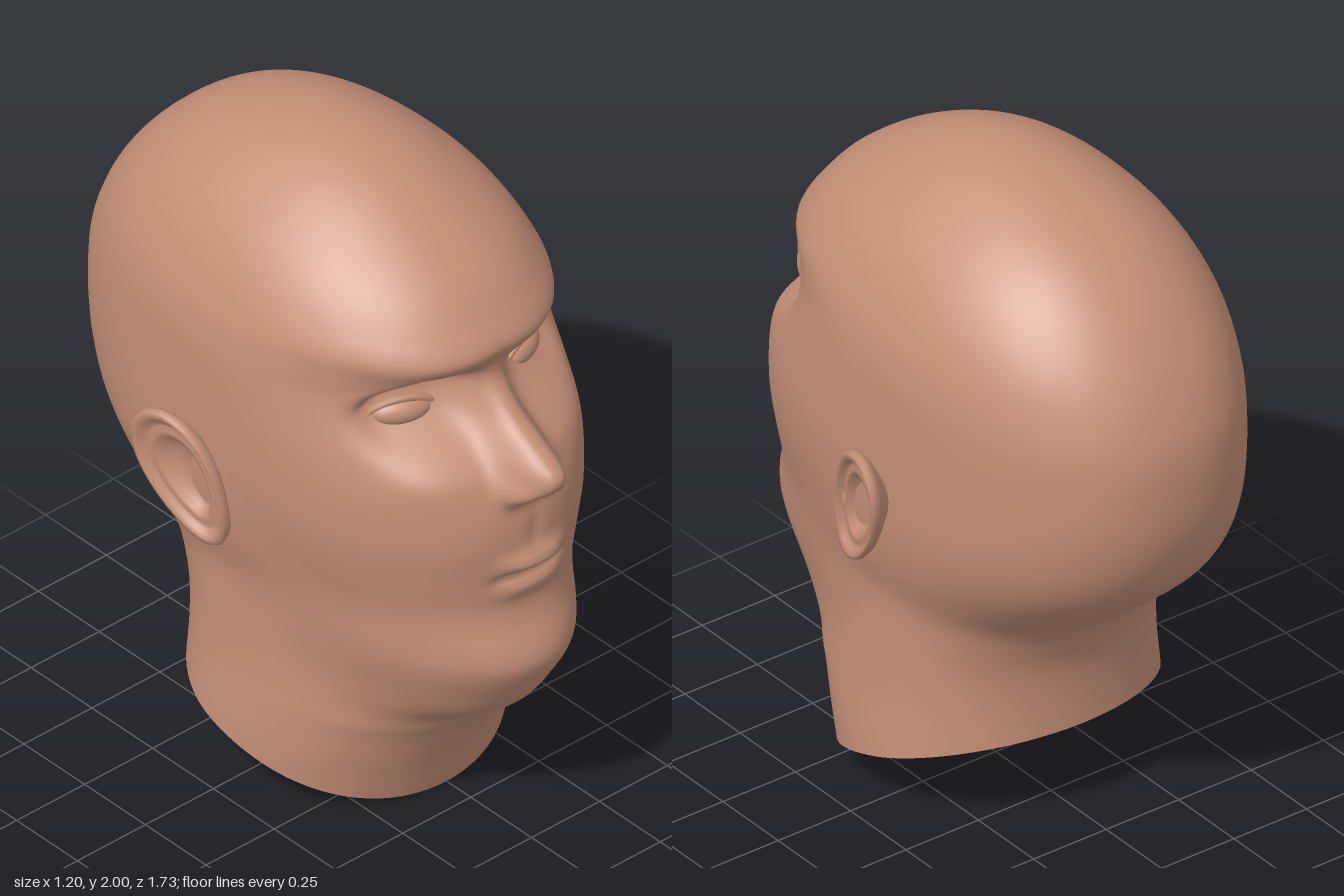
import * as THREE from 'three';

const skin = new THREE.MeshStandardMaterial({ color: 0xc48f76, side: THREE.DoubleSide });
skin.name = 'skin';

const Z0 = -0.05; // axis through the crown

// Profiles over height: [y, value]
const WIDTH = [[0, .46], [.2, .46], [.4, .44], [.6, .434], [.72, .44], [.85, .475], [1, .498], [1.2, .505],
  [1.4, .502], [1.5, .495], [1.6, .475], [1.7, .435], [1.8, .37], [1.9, .265], [1.96, .17], [2, 0]];
const BACK = [[0, -.42], [.3, -.405], [.47, -.41], [.57, -.435], [.68, -.5], [.785, -.63], [.92, -.765],
  [1.1, -.845], [1.29, -.865], [1.45, -.845], [1.66, -.74], [1.85, -.55], [1.96, -.31], [2, Z0]];
const FRONT = [[0, .4], [.15, .456], [.33, .55], [.42, .68], [.52, .755], [.62, .81], [.68, .805], [.76, .77],
  [.83, .755], [.93, .76], [1.05, .77], [1.17, .75], [1.3, .69], [1.4, .62], [1.48, .58], [1.55, .6],
  [1.61, .632], [1.68, .59], [1.77, .51], [1.88, .35], [1.96, .18], [2, Z0]];
const NECK_FRONT = [[0, .4], [.15, .456], [.33, .545], [.5, .55], [2, .55]];
const JAW_WIDTH = [[0, .3], [.3, .35], [.45, .385], [.6, .415], [.8, .445], [1, .488], [1.2, .505], [2, .505]];
const NOSE = [[0, 0], [1.1, 0], [1.165, .012], [1.215, .1], [1.25, .148], [1.29, .168], [1.34, .13],
  [1.4, .075], [1.47, .045], [1.55, .012], [1.62, 0], [2, 0]];

// Smooth interpolation, spaced so that the crown closes round
const toU = (y) => Math.asin(Math.min(1, Math.max(0, y / 2)));
function sample(table, y) {
  const u = toU(y), n = table.length;
  let i = 0;
  while (i < n - 2 && y > table[i + 1][0]) i++;
  const U = (k) => toU(table[k][0]);
  const slope = (k) => {
    const a = Math.max(0, k - 1), b = Math.min(n - 1, k + 1);
    return (table[b][1] - table[a][1]) / (U(b) - U(a));
  };
  const h = U(i + 1) - U(i), t = (u - U(i)) / h, s = t * t * (3 - 2 * t);
  return table[i][1] * (1 - s) + table[i + 1][1] * s
    + h * (slope(i) * t * (1 - t) * (1 - t) - slope(i + 1) * t * t * (1 - t));
}

const bell = (v, centre, size, power = 2) => Math.exp(-Math.pow(Math.abs((v - centre) / size), power));
// Smooth step from 0 at a to 1 at b, in either direction
const step = (a, b, v) => THREE.MathUtils.smoothstep((v - a) / (b - a), 0, 1);

function oval(s, c, w, d, p) {
  const q = (v, r) => Math.pow(Math.abs(v) / Math.max(r, 1e-4), p);
  return Math.pow(q(s, w) + q(c, d), -1 / p);
}

// Radius of the head: skull and neck blended with the forward mass of face and jaw
function radius(angle, y) {
  const s = Math.sin(angle), c = Math.cos(angle), w = sample(WIDTH, y);
  if (c < 0) return oval(s, c, w, Z0 - sample(BACK, y), 2 + 0.24 * step(0.65, 1.05, y));
  const front = sample(FRONT, y);
  const a = oval(s, c, w, Math.min(front, sample(NECK_FRONT, y)) - Z0, 2);
  const power = 2 + 0.18 * step(0.6, 0.9, y) * step(2, 1.6, y);
  const b = oval(s, c, Math.min(w, sample(JAW_WIDTH, y)), front - Z0, power);
  const k = c * (0.02 + 0.06 * step(1.1, 0.7, y)) * step(1.7, 1.3, y) * step(0.05, 0.35, y) + 1e-5;
  const h = Math.max(k - Math.abs(a - b), 0) / k;
  return Math.max(a, b) + h * h * k / 4;
}

// Relief of the facial features, pushed along z
function relief(x, y) {
  const ax = Math.abs(x);
  const nose = sample(NOSE, y) * bell(x, 0, 0.056 + 0.022 * step(1.45, 1.22, y), 3);
  const wings = 0.035 * bell(ax, 0.078, 0.03) * bell(y, 1.21, 0.035);
  const edge = 1.56 - 0.5 * Math.max(0, ax - 0.22); // brow line, falling to the temple
  const sockets = -0.085 * bell(ax, 0.21, 0.14, 4) * step(1.24, 1.42, y) * step(edge, edge - 0.075, y);
  const brows = 0.014 * bell(ax, 0.18, 0.15, 4) * bell(y, 1.575, 0.035);
  const cheeks = 0.014 * bell(ax, 0.29, 0.1) * bell(y, 1.24, 0.09);
  const lips = bell(x, 0, 0.11, 3) * (0.038 * bell(y, 0.972, 0.032) + 0.02 * bell(y, 0.88, 0.028))
    - 0.022 * bell(x, 0, 0.125, 6) * bell(y, 0.926, 0.014);
  const philtrum = -0.008 * bell(x, 0, 0.02) * bell(y, 1.07, 0.05);
  return nose + wings + sockets + brows + cheeks + lips + philtrum;
}

// Surface from closed rings of points
function rings(rows, cols, point) {
  const pos = [], index = [];
  for (let i = 0; i <= rows; i++) {
    for (let j = 0; j < cols; j++) {
      pos.push(...point(i, j));
      if (i === rows) continue;
      const a = i * cols + j, b = i * cols + (j + 1) % cols;
      index.push(a, b, b + cols, a, b + cols, a + cols);
    }
  }
  const g = new THREE.BufferGeometry();
  g.setAttribute('position', new THREE.Float32BufferAttribute(pos, 3));
  g.setIndex(index);
  g.computeVertexNormals();
  return g;
}

function part(name, geometry) {
  const m = new THREE.Mesh(geometry, skin);
  m.name = name;
  return m;
}

function headGeometry() {
  const rows = 160, cols = 176;
  return rings(rows, cols, (i, j) => {
    const phi = (j / cols) * Math.PI * 2, angle = phi - 0.55 * Math.sin(phi); // denser at the face
    let rim = 0.17; // slanted cut of the neck
    for (let k = 0; k < 6; k++) {
      const z = Z0 + radius(angle, rim) * Math.cos(angle);
      rim = Math.max(0, 0.17 - 0.375 * z - 0.125 * z * z);
    }
    const y = rim + (2 - rim) * Math.sin((i / rows) * Math.PI / 2);
    const r = radius(angle, y), x = r * Math.sin(angle);
    const z = Z0 + r * Math.cos(angle);
    return [x, y, z + (Math.cos(angle) > 0.2 ? relief(x, y) : 0)];
  });
}

// Point on the tilted, outward-flaring ear; s scales the outline, lift stands off its plane
function earPoint(a, s, lift) {
  const along = 0.218 * s * Math.sin(a);
  const across = 0.118 * s * Math.cos(a) * (1 + 0.2 * Math.sin(a));
  const tilt = 0.45;
  const z = -0.078 - along * Math.sin(tilt) - across * Math.cos(tilt);
  const y = 1.04 + along * Math.cos(tilt) - across * Math.sin(tilt);
  return [0.535 - 0.25 * (z + 0.08) + 0.08 * (y - 1.04) + lift, y, z];
}

function makeEar() {
  const ear = new THREE.Group();
  // From the root behind, over the rolled rim, into the hollow: [scale, lift]
  const shape = [[.52, -.1], [.62, -.055], [.85, -.03], [.98, -.012], [1.02, .006], [.99, .02], [.92, .022],
    [.85, .014], [.8, .002], [.74, -.002], [.66, .004], [.58, 0], [.5, -.018], [.35, -.035], [.01, -.04]];
  ear.add(part('earShell', rings(shape.length - 1, 48, (i, j) =>
    earPoint((j / 48) * Math.PI * 2, ...shape[i]))));
  const tragus = part('tragus', new THREE.SphereGeometry(1, 16, 12));
  tragus.scale.set(0.018, 0.045, 0.022);
  tragus.position.set(0.495, 1.01, 0.02);
  ear.add(tragus);
  return ear;
}

function makeEye() {
  const eye = new THREE.Group();
  const ball = part('eyeball', new THREE.SphereGeometry(1, 28, 18));
  ball.scale.set(0.09, 0.045, 0.05);
  eye.add(ball);
  // Lids: an almond ring bent back at the corners
  const path = [];
  for (let k = 0; k < 16; k++) {
    const a = (k / 16) * Math.PI * 2, c = Math.cos(a), s = Math.sin(a);
    path.push(new THREE.Vector3(0.096 * c, 0.047 * s * (1 - 0.25 * c * c), 0.022 - 0.018 * c * c));
  }
  eye.add(part('eyelids', new THREE.TubeGeometry(new THREE.CatmullRomCurve3(path, true), 56, 0.011, 8, true)));
  eye.position.set(0.217, 1.408, 0.453);
  eye.rotation.y = 0.42;
  return eye;
}

export function createModel() {
  const model = new THREE.Group();
  model.name = 'head';
  model.add(part('skullFaceAndNeck', headGeometry()));
  for (const side of [1, -1]) {
    const pair = new THREE.Group(), ear = makeEar(), eye = makeEye();
    const label = side > 0 ? 'left' : 'right';
    pair.name = label + 'Features';
    ear.name = label + 'Ear';
    eye.name = label + 'Eye';
    pair.add(ear, eye);
    pair.scale.x = side;
    model.add(pair);
  }
  return model;
}
